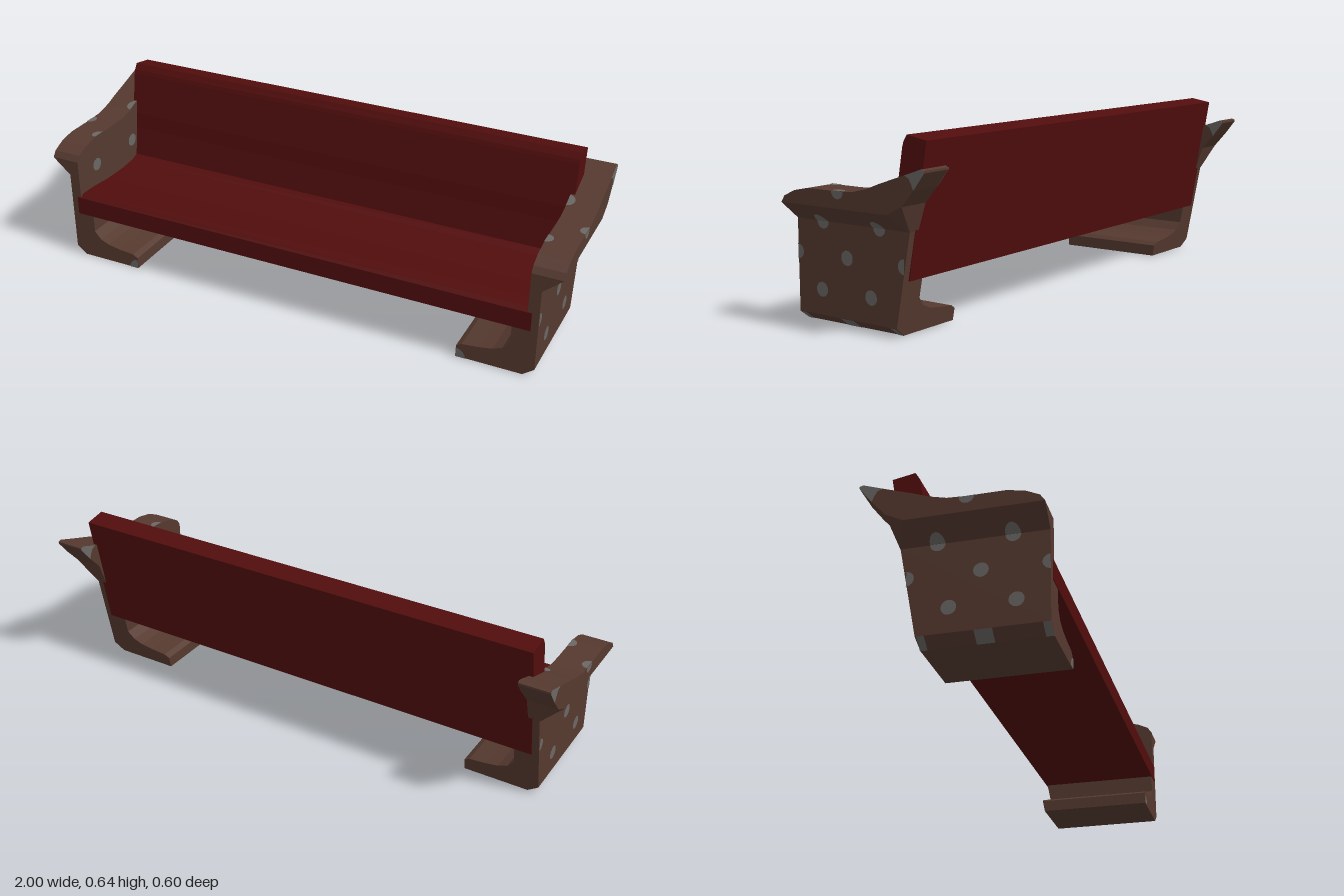
import * as THREE from 'three';
import { ConvexGeometry } from 'three/addons/geometries/ConvexGeometry.js';

const red = new THREE.MeshStandardMaterial({ color: 0x520d0d });
red.name = 'dark red boards';
const brown = new THREE.MeshStandardMaterial({ color: 0x55392f });
brown.name = 'brown ends';
const grey = new THREE.MeshStandardMaterial({ color: 0x6a6764 });
grey.name = 'grey spots';

const shapeOf = (pts) => new THREE.Shape(pts.map(([a, b]) => new THREE.Vector2(a, b)));

// Extrudes a (z, y) outline across x
function across(pts, x0, x1) {
  const g = new THREE.ExtrudeGeometry(shapeOf(pts), { depth: x1 - x0, bevelEnabled: false });
  return g.rotateY(-Math.PI / 2).translate(x1, 0, 0);
}

// Mirrors a geometry in x and restores the winding
function mirrored(geo) {
  const g = geo.index ? geo.toNonIndexed() : geo.clone();
  g.scale(-1, 1, 1);
  const p = g.attributes.position;
  const a = new THREE.Vector3(), b = new THREE.Vector3();
  for (let i = 0; i < p.count; i += 3) {
    a.fromBufferAttribute(p, i + 1);
    b.fromBufferAttribute(p, i + 2);
    p.setXYZ(i + 1, b.x, b.y, b.z);
    p.setXYZ(i + 2, a.x, a.y, a.z);
  }
  g.computeVertexNormals();
  return g;
}

// Rear edge of the end walls leans backwards
const rear = (y) => -0.115 - 0.19 * y;

// Wall and curved foot: cross-section run from front to the leaning rear edge
function wallGeometry() {
  const section = [
    [0.65, 0], [0.89, 0], [0.93, 0.03], [0.93, 0.34], [0.89, 0.34], [0.89, 0.22], [0.84, 0.22],
    [0.84, 0.115], [0.815, 0.085], [0.78, 0.07], [0.73, 0.061], [0.67, 0.055], [0.65, 0.043],
  ];
  const g = new THREE.ExtrudeGeometry(shapeOf(section), { depth: 1, bevelEnabled: false });
  const p = g.attributes.position;
  for (let i = 0; i < p.count; i++) p.setZ(i, p.getZ(i) > 0.5 ? 0.3 : rear(p.getY(i)));
  g.computeVertexNormals();
  return g;
}

// Flare between wall and armrest
function flareGeometry() {
  const pts = [
    [0.89, 0.34, 0.3], [0.93, 0.34, 0.3], [1, 0.4, 0.3], [0.89, 0.4, 0.3],
    [0.89, 0.34, -0.18], [0.93, 0.34, -0.18], [0.89, 0.37, -0.186], [0.93, 0.37, -0.186],
    [1, 0.4, -0.15], [1, 0.43, -0.21], [0.89, 0.43, -0.21],
  ];
  return new ConvexGeometry(pts.map((v) => new THREE.Vector3(...v)));
}

const armOutline = [
  [0.3, 0.4], [0.285, 0.422], [0.24, 0.443], [0.18, 0.455], [0.05, 0.455], [-0.01, 0.458],
  [-0.07, 0.473], [-0.12, 0.492], [-0.2, 0.519], [-0.288, 0.549], [-0.3, 0.545], [-0.3, 0.538],
  [-0.257, 0.483], [-0.21, 0.43], [-0.15, 0.4],
];
const tipOutline = [
  [-0.222, 0.526], [-0.288, 0.549], [-0.3, 0.545], [-0.3, 0.538], [-0.257, 0.483], [-0.25, 0.5], [-0.24, 0.518],
];

// Round spot facing outwards (+x); start and length cut it to a part circle
const spot = (x, y, z, start = 0, length = Math.PI * 2) =>
  new THREE.CircleGeometry(0.025, 16, start, length).rotateY(Math.PI / 2).translate(x, y, z);
const innerSpot = (x, y, z, start = 0, length = Math.PI * 2) =>
  new THREE.CircleGeometry(0.025, 16, start, length).rotateY(-Math.PI / 2).translate(x, y, z);
const topSpot = (x, y, z, tilt, start) =>
  new THREE.CircleGeometry(0.025, 12, start, Math.PI).rotateX(-Math.PI / 2 + tilt).translate(x, y, z);

function spotGeometries() {
  const list = [];
  const out = 0.932, PI = Math.PI;
  // Wall spots
  list.push(spot(out, 0.23, 0.083), spot(out, 0.115, 0.195), spot(out, 0.115, -0.017));
  list.push(spot(out, 0.23, 0.3, -PI / 2, PI), spot(out, 0.23, -0.156, PI / 2, PI));
  // Spots folded over the flare
  for (const z of [0.184, -0.057]) {
    list.push(spot(out, 0.34, z, PI, PI));
    const upper = spot(0, 0, 0, 0, PI);
    const p = upper.attributes.position;
    for (let i = 0; i < p.count; i++) p.setX(i, p.getY(i) * 1.167);
    upper.computeVertexNormals();
    list.push(upper.translate(out + 0.001, 0.34, z));
    list.push(innerSpot(0.888, 0.342, z));
  }
  // Armrest spots
  list.push(spot(1.0005, 0.455, 0.053, PI, PI));
  list.push(topSpot(1, 0.457, 0.053, 0, PI / 2));
  list.push(topSpot(0.89, 0.457, 0.155, 0, -PI / 2));
  list.push(topSpot(0.89, 0.481, -0.085, 0.35, -PI / 2));
  // Lower bevel spots
  for (const [z0, z1] of [[0.275, 0.3], [0.063, 0.12], [-0.116, -0.092]]) {
    const g = new THREE.PlaneGeometry(z1 - z0, 0.05).rotateY(PI / 2);
    g.rotateZ(-Math.atan2(0.04, 0.03));
    list.push(g.translate(0.911, 0.0142, (z0 + z1) / 2));
  }
  // Corner spot on the front of the foot
  list.push(new THREE.CircleGeometry(0.035, 12, 0, PI / 2).translate(0.65, 0, 0.302));
  // Armrest tips
  list.push(across(tipOutline, 0.999, 1.001), across(tipOutline, 0.889, 0.891));
  return list;
}

export function createModel() {
  const root = new THREE.Group();
  root.name = 'bench';
  const add = (parent, geo, mat, name) => {
    const m = new THREE.Mesh(geo, mat);
    m.name = name;
    parent.add(m);
  };

  // Seat and backrest share one profile
  const boards = [
    [0.302, 0.18], [0.302, 0.25], [0.285, 0.262], [0.22, 0.26], [0.12, 0.251], [0.02, 0.25],
    [-0.05, 0.256], [-0.082, 0.268], [-0.09, 0.32], [-0.099, 0.38], [-0.106, 0.44], [-0.115, 0.495],
    [-0.133, 0.597], [-0.138, 0.613], [-0.152, 0.635], [-0.229, 0.621], [-0.153, 0.18],
  ];
  add(root, across(boards, -0.905, 0.905), red, 'seatAndBackrest');

  // Two mirrored ends
  const parts = [
    [wallGeometry(), brown, 'wallAndFoot'],
    [flareGeometry(), brown, 'armFlare'],
    [across(armOutline, 0.89, 1), brown, 'armrest'],
    ...spotGeometries().map((g) => [g, grey, 'spot']),
  ];
  for (const side of ['left', 'right']) {
    const end = new THREE.Group();
    end.name = side + 'End';
    for (const [geo, mat, name] of parts) add(end, side === 'left' ? geo : mirrored(geo), mat, name);
    root.add(end);
  }
  return root;
}
